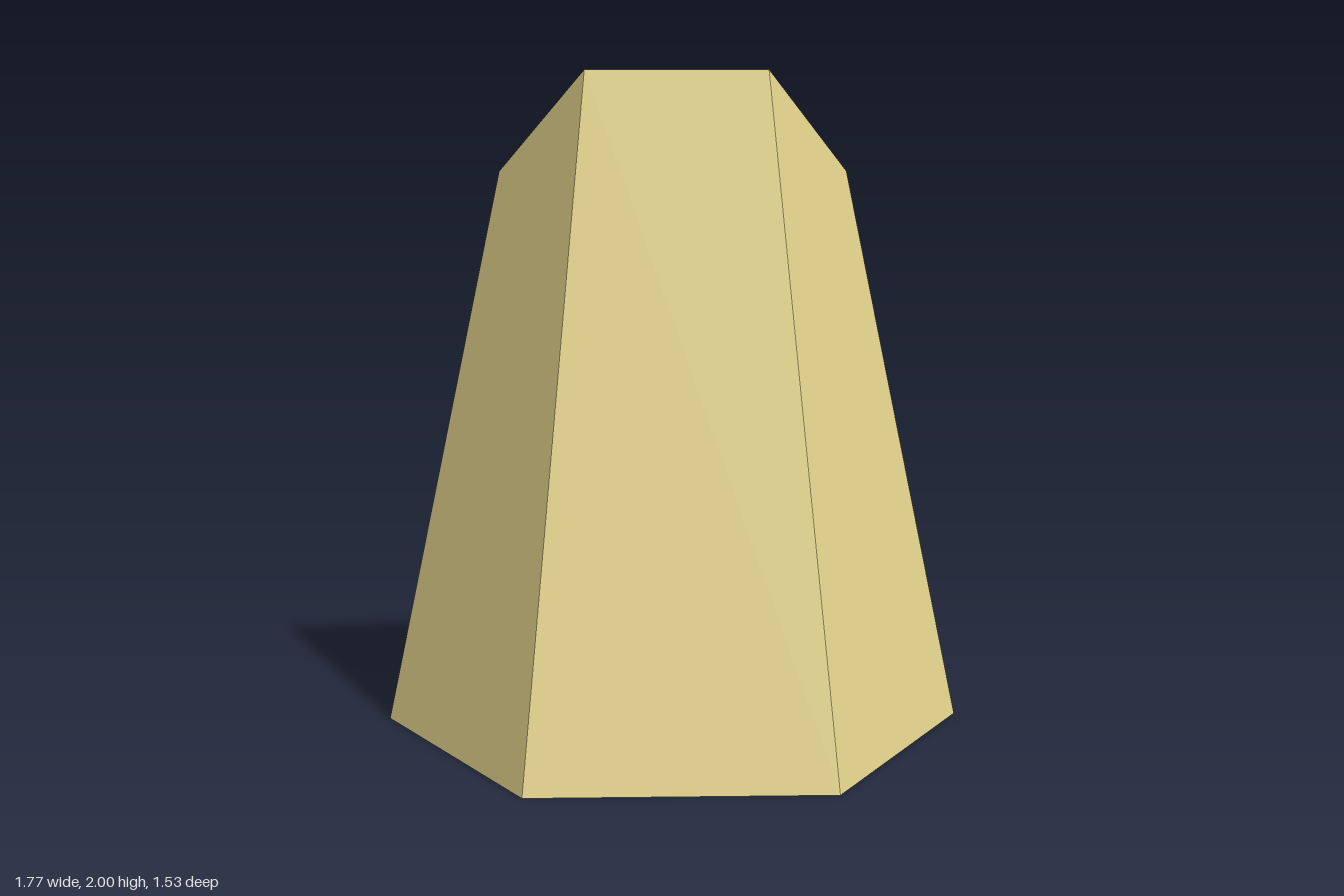
import * as THREE from 'three';

const BASE_RADIUS = 0.885;
const TOP_RADIUS = 0.525;
const CHIPPED = 4; // the sunken, broken back corner on the -x side

// Corner i of the hexagonal base; corner 0 points to +x, corner 1 is at the front
function baseCorner(i) {
  const a = (i * Math.PI) / 3;
  return new THREE.Vector3(Math.cos(a) * BASE_RADIUS, 0, Math.sin(a) * BASE_RADIUS);
}

// Corner i of the sloping top, high at the front and low at the back
function topCorner(i) {
  const a = (i * Math.PI) / 3;
  const z = Math.sin(a) * TOP_RADIUS * 0.752;
  const sink = i === CHIPPED ? 0.16 : 0;
  return new THREE.Vector3(Math.cos(a) * TOP_RADIUS, 1.7 + z * 0.877 - sink, z);
}

// Flat-shaded solid: each polygon is a fan with one normal for the whole face
function facetedGeometry(polygons) {
  const positions = [];
  const normals = [];
  for (const poly of polygons) {
    const normal = new THREE.Vector3();
    for (let k = 1; k < poly.length - 1; k++) {
      const u = poly[k].clone().sub(poly[0]);
      const v = poly[k + 1].clone().sub(poly[0]);
      normal.add(u.cross(v));
    }
    normal.normalize();
    for (let k = 1; k < poly.length - 1; k++) {
      for (const p of [poly[0], poly[k], poly[k + 1]]) {
        positions.push(p.x, p.y, p.z);
        normals.push(normal.x, normal.y, normal.z);
      }
    }
  }
  const geometry = new THREE.BufferGeometry();
  geometry.setAttribute('position', new THREE.Float32BufferAttribute(positions, 3));
  geometry.setAttribute('normal', new THREE.Float32BufferAttribute(normals, 3));
  return geometry;
}

export function createModel() {
  const stone = new THREE.MeshStandardMaterial({ color: 0xe5d68d });
  stone.name = 'sandstone';

  const base = [0, 1, 2, 3, 4, 5].map(baseCorner);
  const top = [0, 1, 2, 3, 4, 5].map(topCorner);

  // The chip cuts the three edges that met at the broken corner
  const chipSide = top[CHIPPED].clone().lerp(top[CHIPPED - 1], 0.31);
  const chipBack = top[CHIPPED].clone().lerp(top[CHIPPED + 1], 0.29);
  const chipLow = top[CHIPPED].clone().lerp(base[CHIPPED], 0.185);

  const faces = [
    base, // underside
    [top[3], top[2], top[1], top[0], top[5], chipBack, chipSide], // sloping top
    [chipLow, chipSide, chipBack], // chip
  ];

  // Six sides, two of them with an extra corner from the chip
  for (let i = 0; i < 6; i++) {
    const j = (i + 1) % 6;
    const start = i === CHIPPED ? [chipLow, chipBack] : [top[i]];
    const end = j === CHIPPED ? [chipSide, chipLow] : [top[j]];
    faces.push([base[i], ...start, ...end, base[j]]);
  }

  const pillar = new THREE.Mesh(facetedGeometry(faces), stone);
  pillar.name = 'chippedHexagonalPillar';

  const model = new THREE.Group();
  model.name = 'stonePillar';
  model.add(pillar);
  return model;
}
